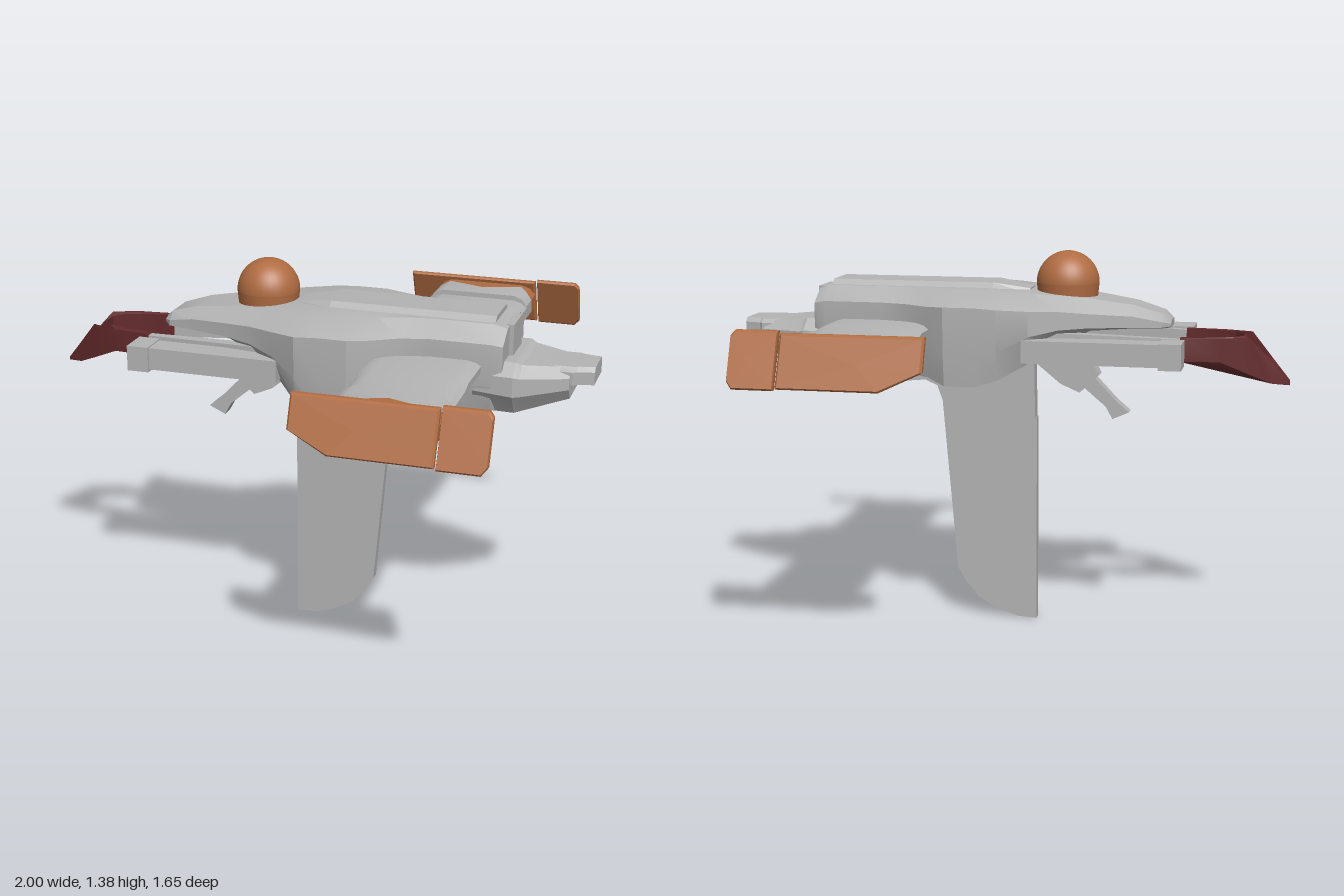
import * as THREE from 'three';
import { toCreasedNormals } from 'three/addons/utils/BufferGeometryUtils.js';

const mat = (name, color) => {
  const m = new THREE.MeshStandardMaterial({ color });
  m.name = name;
  return m;
};

// Closed solid through convex rings of [x, y, z] points, turned outward by its signed volume
function loft(rings, crease = 0.5) {
  const tris = [];
  const n = rings[0].length;
  for (let i = 0; i < rings.length - 1; i++) {
    for (let j = 0; j < n; j++) {
      const k = (j + 1) % n;
      const a = rings[i][j], b = rings[i][k], c = rings[i + 1][k], d = rings[i + 1][j];
      tris.push([a, b, c], [a, c, d]);
    }
  }
  const cap = (ring, flip) => {
    const mid = [0, 1, 2].map(q => ring.reduce((s, p) => s + p[q], 0) / n);
    ring.forEach((p, j) => {
      const r = ring[(j + 1) % n];
      tris.push(flip ? [mid, r, p] : [mid, p, r]);
    });
  };
  cap(rings[0], true);
  cap(rings[rings.length - 1], false);
  const v = p => new THREE.Vector3(...p);
  const volume = tris.reduce((s, [a, b, c]) => s + v(a).dot(v(b).cross(v(c))), 0);
  if (volume < 0) tris.forEach(t => t.reverse());
  const geo = new THREE.BufferGeometry();
  geo.setAttribute('position', new THREE.Float32BufferAttribute(tris.flat(2), 3));
  return toCreasedNormals(geo, crease);
}

// Symmetric section across the hull from half-profile points [z, y]
const section = (x, half) => [
  ...half.map(([z, y]) => [x, y, z]),
  ...half.slice().reverse().map(([z, y]) => [x, y, -z]),
];

// Flat outline in x, y given thickness along z
function slab(points, depth) {
  const shape = new THREE.Shape(points.map(p => new THREE.Vector2(...p)));
  return new THREE.ExtrudeGeometry(shape, { depth, bevelEnabled: false }).translate(0, 0, -depth / 2);
}

export function createModel() {
  const grey = mat('hull grey', 0xb4b4b4);
  const orange = mat('orange', 0xb06c42);
  const red = mat('dark red', 0x642a2c);
  const model = new THREE.Group();
  const add = (name, geo, material) => {
    const mesh = new THREE.Mesh(geo, material);
    mesh.name = name;
    model.add(mesh);
    return mesh;
  };
  const box = (name, x0, x1, y0, y1, z0, z1) =>
    add(name, new THREE.BoxGeometry(x1 - x0, y1 - y0, z1 - z0)
      .translate((x0 + x1) / 2, (y0 + y1) / 2, (z0 + z1) / 2), grey);

  // Main hull: x, half width, top, edge top, edge bottom, keel half width, keel
  const hull = [
    [-0.58, 0.06, 1.145, 1.135, 1.125, 0.05, 1.12],
    [-0.55, 0.10, 1.17, 1.145, 1.125, 0.08, 1.12],
    [-0.45, 0.125, 1.2, 1.165, 1.125, 0.1, 1.12],
    [-0.3, 0.165, 1.222, 1.175, 1.125, 0.12, 1.11],
    [-0.2, 0.205, 1.232, 1.185, 1.12, 0.13, 1.06],
    [-0.1, 0.255, 1.24, 1.19, 1.1, 0.19, 1.0],
    [0, 0.315, 1.245, 1.2, 1.05, 0.29, 0.95],
    [0.08, 0.315, 1.25, 1.205, 1.05, 0.3, 0.925],
    [0.19, 0.315, 1.25, 1.205, 1.05, 0.3, 0.925],
    [0.26, 0.27, 1.25, 1.2, 1.05, 0.25, 0.945],
    [0.35, 0.215, 1.25, 1.2, 1.05, 0.2, 0.95],
    [0.45, 0.19, 1.25, 1.2, 1.05, 0.17, 0.95],
    [0.66, 0.19, 1.25, 1.2, 1.05, 0.15, 0.95],
    [0.7, 0.175, 1.235, 1.19, 1.06, 0.13, 0.96],
  ];
  add('hull', loft(hull.map(([x, w, t, et, eb, wk, k]) =>
    section(x, [[w * 0.6, t], [w, et], [w, eb], [wk, k]]))), grey);

  // Raised spine on the deck
  add('spine', loft([[-0.07, 0.06, 1.247], [0.06, 0.1, 1.268], [0.655, 0.1, 1.268]].map(([x, w, y]) =>
    section(x, [[w * 0.75, y], [w, y - 0.02], [w, 1.2]])), 0.2), grey);
  box('sternBracket', 0.64, 0.715, 1.1, 1.24, -0.07, 0.07);

  // Stern engine block and nozzle
  const engine = [
    [0.6, 0.14, 1.13, 0.185, 1.09, 1.03, 0.14, 0.95],
    [0.74, 0.14, 1.13, 0.19, 1.09, 1.02, 0.14, 0.948],
    [0.76, 0.13, 1.12, 0.18, 1.085, 1.02, 0.13, 0.953],
    [0.92, 0.07, 1.11, 0.11, 1.08, 1.04, 0.08, 1.0],
  ];
  add('engine', loft(engine.map(([x, wt, t, w, e1, e2, wb, b]) =>
    section(x, [[wt, t], [w, e1], [w, e2], [wb, b]])), 0.2), grey);
  add('nozzle', loft([[0.82, 0.1], [0.93, 0.1], [0.94, 0.09], [1.0, 0.075]].map(([x, w]) =>
    section(x, [[w * 0.8, 1.115], [w, 1.1], [w, 1.055]])), 0.2), grey);

  // Cockpit dome on its collar
  add('dome', new THREE.SphereGeometry(0.113, 32, 12, 0, Math.PI * 2, 0, Math.PI / 2)
    .translate(-0.2, 1.268, 0), orange);
  add('domeCollar', new THREE.CylinderGeometry(0.113, 0.108, 0.05, 32).translate(-0.2, 1.243, 0), orange);

  // Wing profile across x at station z; zOf bends the station by point
  const wingX = [0.25, 0.27, 0.3, 0.44, 0.58, 0.61, 0.63];
  const wingDrop = [0.3, 0.1, 0, 0, 0, 0.1, 0.3];
  const wingRing = (bottom, top, zOf) => {
    const h = top - bottom;
    const upper = wingX.map((x, i) => [x, top - wingDrop[i] * h, i]);
    const lower = wingX.map((x, i) => [x, bottom + wingDrop[i] * h, i]).reverse();
    return [...upper, ...lower].map(([x, y, i]) => [x, y, zOf(y, i)]);
  };
  const zigzag = [0.66, 0.675, 0.71, 0.66, 0.71, 0.675, 0.66];
  const paintEdge = (y, i) => zigzag[i] + (1.15 - y) * 0.25;
  const tipEdge = y => 0.745 + (1.16 - y) * 0.4;
  const endPlates = [
    ['endPlate', [[0.14, 1.165], [0.63, 1.165], [0.63, 0.99], [0.28, 0.99], [0.14, 1.055]]],
    ['endPlateRear', [[0.637, 1.172], [0.785, 1.172], [0.8, 1.155], [0.8, 1.01], [0.78, 0.985], [0.637, 0.985]]],
  ];

  for (const s of [1, -1]) {
    const side = s > 0 ? 'left' : 'right';
    const mirror = rings => rings.map(r => r.map(([x, y, z]) => [x, y, z * s]));

    // Wing, its tip sleeve and the painted tip
    const flat = z => () => z;
    add(side + 'Wing', loft(mirror([
      wingRing(1.08, 1.138, flat(0.1)), wingRing(1.08, 1.138, flat(0.37)),
      wingRing(1.04, 1.135, flat(0.42)), wingRing(1.04, 1.13, flat(0.59)),
    ])), grey);
    add(side + 'WingSleeve', loft(mirror([
      wingRing(1.025, 1.148, flat(0.58)), wingRing(1.025, 1.148, paintEdge),
    ])), grey);
    add(side + 'WingTip', loft(mirror([
      wingRing(1.025, 1.148, paintEdge), wingRing(1.025, 1.148, tipEdge),
    ])), orange);

    // Leaning end plates with bevelled rims
    for (const [name, outline] of endPlates) {
      const cx = (outline[0][0] + outline[1][0]) / 2;
      const rings = [[-0.016, 0.93], [-0.008, 1], [0.008, 1], [0.016, 0.93]].map(([d, k]) =>
        outline.map(([px, py]) => {
          const x = cx + (px - cx) * (k < 1 ? 0.97 : 1);
          const y = 1.08 + (py - 1.08) * k;
          return [x, y, 0.74 + (1.168 - y) * 0.4 + d];
        }));
      add(side + name[0].toUpperCase() + name.slice(1), loft(mirror(rings), 0.15), orange);
    }

    // Cannon beside the bow
    const zs = (a, b) => s > 0 ? [a, b] : [-b, -a];
    box(side + 'Cannon', -0.6, -0.08, 1.01, 1.09, ...zs(0.178, 0.272));
    box(side + 'Muzzle', -0.64, -0.56, 1.002, 1.094, ...zs(0.168, 0.282));

    // Arm carrying the beak
    add(side + 'BeakArm', loft(mirror([[-0.62, 0.105, 0.135, 1.012, 1.09], [-0.15, 0.15, 0.2, 1.03, 1.11]]
      .map(([x, a, b, y0, y1]) => [[x, y0, a], [x, y1, a], [x, y1, b], [x, y0, b]]))), grey);
  }

  // Forked beak: a U outline whose tip droops
  const outer = [[-0.62, 0.135], [-0.76, 0.12], [-0.86, 0.083], [-0.94, 0.045], [-1, 0.022]];
  const inner = [[-0.835, 0.03], [-0.8, 0.068], [-0.72, 0.097], [-0.62, 0.105]];
  const flip = pts => pts.map(([x, z]) => [x, -z]).reverse();
  const beak = slab([...outer, ...flip(outer), ...flip(inner), ...inner], 1).rotateX(-Math.PI / 2);
  const bp = beak.attributes.position;
  for (let i = 0; i < bp.count; i++) {
    const x = bp.getX(i);
    const top = x > -0.86 ? 1.095 : 1.095 - (-0.86 - x) * 1.16;
    const low = x > -0.76 ? 1.012 : Math.max(0.922, 1.012 - (-0.76 - x) * 0.46);
    bp.setY(i, bp.getY(i) > 0 ? top : low);
  }
  add('beak', toCreasedNormals(beak, 0.4), red);

  // Ventral fin with its leading strut
  add('fin', slab([[-0.09, 0], [-0.02, 0.004], [0.06, 0.03], [0.13, 0.07], [0.18, 0.13], [0.21, 0.18],
    [0.265, 0.82], [0.285, 0.875], [0.33, 0.895], [0.415, 0.887], [0.415, 1], [-0.08, 1], [-0.08, 0.77],
    [-0.09, 0.77]], 0.034), grey);
  add('finStrut', slab([[-0.085, 0.765], [-0.045, 0.775], [-0.033, 0.8], [-0.028, 1], [-0.08, 1]], 0.05), grey);

  // Chin gun under the bow
  add('chinMount', slab([[-0.32, 0.935], [-0.25, 0.87], [-0.18, 0.9], [-0.07, 0.99], [-0.07, 1.06],
    [-0.2, 1.08], [-0.28, 1.01]], 0.07), grey);
  add('chinBarrel', slab([[-0.43, 0.802], [-0.37, 0.775], [-0.345, 0.82], [-0.25, 0.9], [-0.29, 0.94],
    [-0.38, 0.845]], 0.05), grey);

  return model;
}
